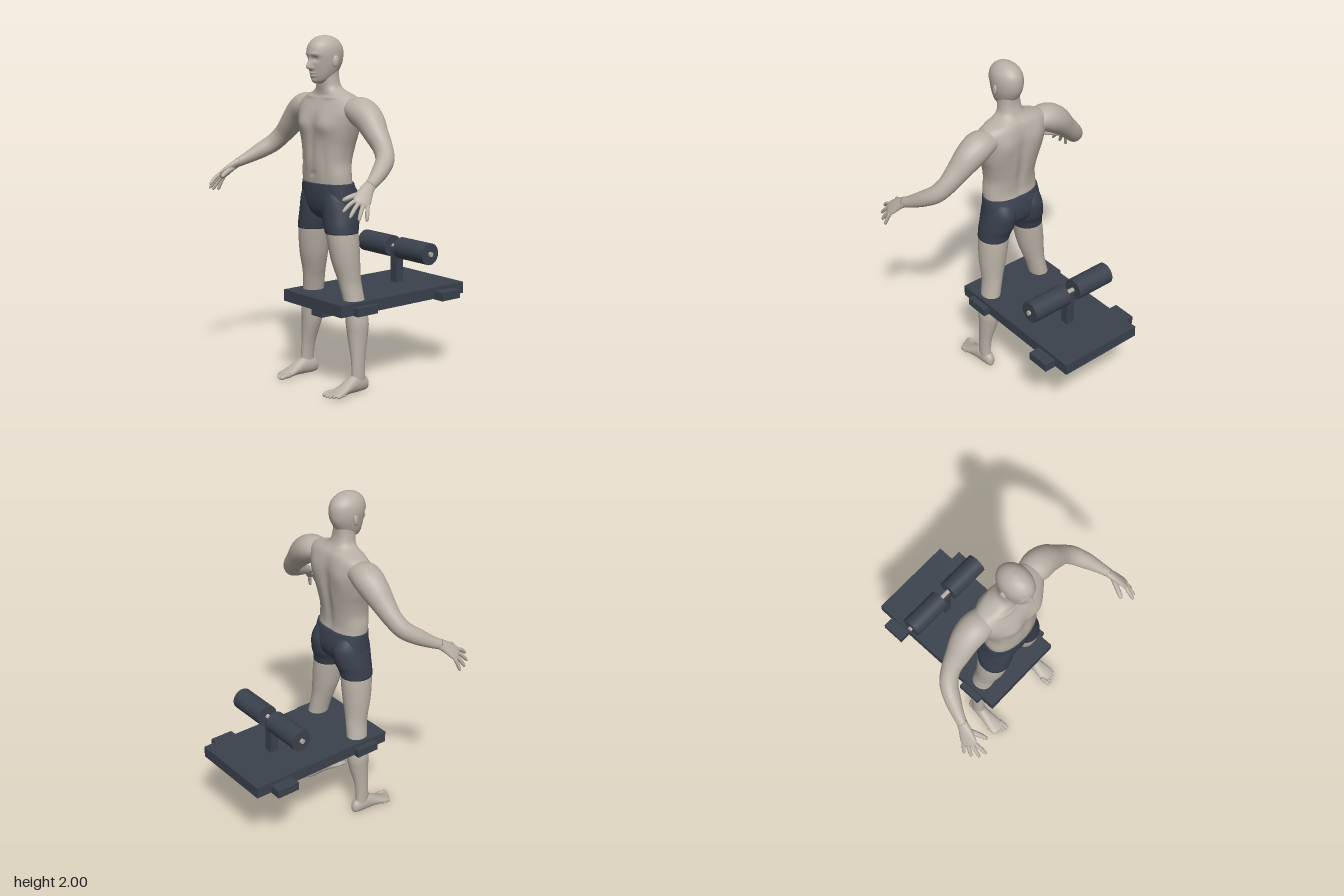
import * as THREE from 'three';

const mat = (name, color) => Object.assign(new THREE.MeshStandardMaterial({ color }), { name });
const gauss = (d, s) => Math.exp(-(d / s) * (d / s));

// Catmull-Rom interpolation between rows of numbers
function smooth(rows, per) {
  const out = [], last = rows.length - 1;
  for (let i = 0; i < last; i++) {
    const a = rows[Math.max(i - 1, 0)], b = rows[i], c = rows[i + 1], d = rows[Math.min(i + 2, last)];
    for (let k = 0; k < per; k++) {
      const t = k / per;
      out.push(b.map((p, j) => {
        const quad = 2 * a[j] - 5 * p + 4 * c[j] - d[j];
        const cubic = 3 * (p - c[j]) + d[j] - a[j];
        return p + 0.5 * t * (c[j] - a[j] + t * (quad + t * cubic));
      }));
    }
  }
  out.push(rows[last]);
  return out;
}

// Closed skin over a list of rings, capped at both ends and facing outwards
function skinRings(rings) {
  const n = rings[0].length, pts = rings.flat(), idx = [];
  for (let r = 0; r < rings.length - 1; r++) for (let i = 0; i < n; i++) {
    const a = r * n + i, b = r * n + (i + 1) % n;
    idx.push(a, b, a + n, b, b + n, a + n);
  }
  [0, rings.length - 1].forEach((r, end) => {
    const c = pts.length;
    pts.push(rings[r].reduce((s, p) => s.add(p), new THREE.Vector3()).divideScalar(n));
    for (let i = 0; i < n; i++) {
      const a = r * n + i, b = r * n + (i + 1) % n;
      idx.push(...(end ? [a, b, c] : [b, a, c]));
    }
  });
  let volume = 0;
  for (let i = 0; i < idx.length; i += 3)
    volume += pts[idx[i]].dot(new THREE.Vector3().crossVectors(pts[idx[i + 1]], pts[idx[i + 2]]));
  if (volume < 0) idx.reverse();
  const g = new THREE.BufferGeometry().setFromPoints(pts);
  g.setIndex(idx);
  g.computeVertexNormals();
  return g;
}

// Rows: [position, centre x, half width, low, high], stacked along y or z
function loft(rows, { side = 1, axis = 'y', n = 40, per = 5, power = 1, rule } = {}) {
  const pw = v => Math.sign(v) * Math.abs(v) ** power;
  return skinRings(smooth(rows, per).map(([p, cx, w, lo, hi]) => Array.from({ length: n }, (_, i) => {
    const a = (i + 0.5) / n * Math.PI * 2;
    const x = side * (cx + w * pw(Math.cos(a))), d = (lo + hi) / 2 + (hi - lo) / 2 * pw(Math.sin(a));
    const v = axis === 'y' ? new THREE.Vector3(x, p, d) : new THREE.Vector3(x, d, p);
    if (rule) rule(v);
    return v;
  })));
}

// Rows: [x, y, z, radius across ref, radius along ref], swept along their centres
function limb(rows, side, ref, n = 24, per = 5) {
  const s = smooth(rows, per), at = i => new THREE.Vector3(...s[i].slice(0, 3));
  return skinRings(s.map((row, k) => {
    const t = at(Math.min(k + 1, s.length - 1)).sub(at(Math.max(k - 1, 0))).normalize();
    const u = new THREE.Vector3().crossVectors(t, ref).normalize();
    const v = new THREE.Vector3().crossVectors(u, t);
    return Array.from({ length: n }, (_, i) => {
      const a = i / n * Math.PI * 2;
      const p = at(k).addScaledVector(u, row[3] * Math.cos(a)).addScaledVector(v, row[4] * Math.sin(a));
      p.x *= side;
      return p;
    });
  }));
}

// Tapered finger or toe with a rounded tip
function digit(a, b, r, side, lift) {
  const at = (t, k, up = 0) => [0, 1, 2].map(j => a[j] + (b[j] - a[j]) * t + (j === 1 ? up : 0)).concat(r * k, r * k);
  return limb([at(0, 1), at(0.45, 1.02, lift), at(0.8, 0.9, lift * 0.5), at(0.95, 0.6), at(1, 0.05)],
    side, new THREE.Vector3(1, 0, 0), 12, 3);
}

// Nose, eye sockets, brows, lips and chin
function faceRule(p) {
  if (p.z < 0.24) return;
  const ax = Math.abs(p.x), { x, y } = p;
  const nose = gauss(y - 1.825, y < 1.825 ? 0.012 : 0.035);
  p.z += 0.032 * gauss(x, 0.013) * nose + 0.008 * gauss(ax - 0.014, 0.008) * gauss(y - 1.82, 0.009)
    - 0.013 * gauss(ax - 0.034, 0.018) * gauss(y - 1.872, 0.014)
    + 0.005 * gauss(ax - 0.032, 0.025) * gauss(y - 1.898, 0.01)
    + 0.009 * gauss(x, 0.022) * (gauss(y - 1.793, 0.006) + gauss(y - 1.777, 0.006))
    + 0.005 * gauss(x, 0.02) * gauss(y - 1.75, 0.012);
}

function torsoRule(p) {
  const ax = Math.abs(p.x), { x, y } = p;
  if (p.z > 0.2) {
    p.z += 0.02 * gauss(ax - 0.095, 0.065) * gauss(y - 1.51, 0.055) // chest
      - 0.008 * gauss(x, 0.014) * gauss(y - 1.42, 0.15)
      - 0.006 * gauss(ax - 0.09, 0.02) * gauss(y - 1.3, 0.08)
      - 0.014 * gauss(x, 0.011) * gauss(y - 1.235, 0.012)           // navel
      + 0.007 * gauss(y - 1.655 - ax * 0.05, 0.01) * gauss(ax - 0.09, 0.06); // collarbone
  } else {
    p.z += 0.018 * gauss(x, 0.025) * gauss(y - 1.42, 0.2)           // spine
      - 0.013 * gauss(ax - 0.11, 0.055) * gauss(y - 1.55, 0.08);    // shoulder blades
  }
}

export function createModel() {
  const model = new THREE.Group();
  const skin = mat('skin', 0xb8b0a5), cloth = mat('shorts cloth', 0x39404d);
  const bench = mat('bench', 0x3b424d), metal = mat('axle metal', 0xb3aca0);
  const add = (name, geo, m, parent = model) => {
    const mesh = new THREE.Mesh(geo, m);
    mesh.name = name;
    parent.add(mesh);
    return mesh;
  };
  const group = name => {
    const g = new THREE.Group();
    g.name = name;
    model.add(g);
    return g;
  };

  // Bench
  const benchGroup = group('bench');
  const box = (name, x, y0, y1, z0, z1) =>
    add(name, new THREE.BoxGeometry(2 * x, y1 - y0, z1 - z0), bench, benchGroup).position.set(0, (y0 + y1) / 2, (z0 + z1) / 2);
  box('board', 0.265, 0.457, 0.525, -0.61, 0.33);
  box('beam', 0.047, 0.41, 0.457, -0.57, 0.297);
  box('rearCrossbar', 0.335, 0.454, 0.503, -0.514, -0.372);
  box('frontCrossbar', 0.3, 0.454, 0.503, 0.093, 0.24);
  box('post', 0.027, 0.525, 0.735, -0.34, -0.288);
  const rod = (name, r, len, x, m) => {
    const mesh = add(name, new THREE.CylinderGeometry(r, r, len, 40), m, benchGroup);
    mesh.rotation.z = Math.PI / 2;
    mesh.position.set(x, 0.735, -0.315);
  };
  rod('axle', 0.014, 0.6, 0, metal);
  for (const s of [1, -1]) rod('roller', 0.064, 0.25, s * 0.162, bench);

  // Head
  const head = group('head');
  add('skull', loft([
    [1.735, 0, 0.02, 0.22, 0.295], [1.745, 0, 0.038, 0.195, 0.308], [1.765, 0, 0.053, 0.175, 0.316],
    [1.80, 0, 0.068, 0.148, 0.323], [1.85, 0, 0.08, 0.122, 0.332], [1.90, 0, 0.084, 0.115, 0.341],
    [1.94, 0, 0.078, 0.123, 0.334], [1.97, 0, 0.061, 0.147, 0.312], [1.99, 0, 0.037, 0.18, 0.28], [2.0, 0, 0.004, 0.226, 0.234],
  ], { n: 96, per: 9, rule: faceRule }), skin, head);

  // Torso and neck
  add('torso', loft([
    [1.15, 0, 0.172, 0.105, 0.312], [1.22, 0, 0.171, 0.114, 0.319], [1.30, 0, 0.163, 0.106, 0.325],
    [1.38, 0, 0.177, 0.092, 0.323], [1.45, 0, 0.2, 0.082, 0.322], [1.52, 0, 0.222, 0.078, 0.318],
    [1.58, 0, 0.236, 0.078, 0.306], [1.63, 0, 0.232, 0.086, 0.282], [1.665, 0, 0.185, 0.098, 0.264],
    [1.69, 0, 0.112, 0.118, 0.262], [1.715, 0, 0.075, 0.135, 0.265], [1.76, 0, 0.064, 0.148, 0.27], [1.82, 0, 0.06, 0.15, 0.275],
  ], { n: 80, per: 7, power: 0.88, rule: torsoRule }), skin);

  // Shorts
  const shorts = group('shorts');
  add('shortsWaist', loft([
    [1.183, 0, 0.178, 0.1, 0.32], [1.12, 0, 0.185, 0.083, 0.321], [1.06, 0, 0.188, 0.084, 0.313],
    [1.01, 0, 0.16, 0.105, 0.295], [0.975, 0, 0.1, 0.15, 0.26],
  ], { power: 0.88 }), cloth, shorts);

  for (const s of [1, -1]) {
    const side = s > 0 ? 'left' : 'right', opt = { side: s };
    const ear = add(side + 'Ear', new THREE.SphereGeometry(1, 16, 12), skin, head);
    ear.scale.set(0.011, 0.033, 0.019);
    ear.position.set(s * 0.086, 1.858, 0.222);
    ear.rotation.set(-0.15, s * -0.35, 0);
    const eye = add(side + 'Eye', new THREE.SphereGeometry(0.012, 16, 12), skin, head);
    eye.scale.y = 0.6;
    eye.position.set(s * 0.034, 1.871, 0.305);

    add(side + 'ShortsLeg', loft([
      [1.16, 0.09, 0.075, 0.105, 0.3], [1.09, 0.096, 0.09, 0.073, 0.312], [1.0, 0.106, 0.099, 0.085, 0.312],
      [0.95, 0.116, 0.096, 0.105, 0.312], [0.905, 0.125, 0.091, 0.115, 0.309],
    ], opt), cloth, shorts);

    // Legs
    const leg = group(side + 'Leg');
    add(side + 'LegSkin', loft([
      [0.93, 0.122, 0.088, 0.118, 0.305], [0.85, 0.133, 0.087, 0.115, 0.3], [0.75, 0.145, 0.08, 0.118, 0.285],
      [0.66, 0.158, 0.066, 0.12, 0.262], [0.6, 0.169, 0.058, 0.116, 0.25], [0.5, 0.19, 0.057, 0.109, 0.236],
      [0.4, 0.206, 0.062, 0.1, 0.235], [0.32, 0.212, 0.056, 0.11, 0.23], [0.2, 0.229, 0.037, 0.135, 0.225],
      [0.1, 0.236, 0.03, 0.14, 0.227], [0.04, 0.235, 0.03, 0.13, 0.23],
    ], opt), skin, leg);
    add(side + 'Foot', loft([
      [0.113, 0.232, 0.008, 0.02, 0.05], [0.125, 0.232, 0.024, 0.006, 0.075], [0.16, 0.232, 0.033, 0.001, 0.098],
      [0.21, 0.235, 0.035, 0.001, 0.104], [0.26, 0.237, 0.039, 0.003, 0.082], [0.31, 0.239, 0.046, 0.002, 0.055],
      [0.35, 0.239, 0.049, 0.002, 0.037], [0.372, 0.236, 0.042, 0.005, 0.028], [0.38, 0.234, 0.03, 0.01, 0.02],
    ], { side: s, axis: 'z' }), skin, leg);
    for (let i = 0; i < 5; i++) {
      const x = 0.2 + 0.02 * i, r = i ? 0.0105 - 0.0005 * i : 0.014;
      add(side + 'Toe', digit([x, r + 0.007, 0.34 - 0.006 * i], [x, r, 0.412 - 0.002 * i * (i + 1)], r, s, 0.004), skin, leg);
    }

    // Arms
    const arm = group(side + 'Arm');
    add(side + 'ArmSkin', limb([
      [0.15, 1.6, 0.178, 0.05, 0.07], [0.235, 1.59, 0.172, 0.08, 0.088], [0.31, 1.548, 0.17, 0.081, 0.083],
      [0.385, 1.475, 0.18, 0.066, 0.067], [0.45, 1.41, 0.192, 0.057, 0.053], [0.505, 1.353, 0.225, 0.053, 0.05],
      [0.547, 1.308, 0.29, 0.046, 0.046], [0.58, 1.268, 0.36, 0.033, 0.036], [0.601, 1.242, 0.415, 0.025, 0.029],
    ], s, new THREE.Vector3(0, 0, 1)), skin, arm);

    // Hands
    const across = new THREE.Vector3(-0.52, 0.38, 0.76).normalize();
    add(side + 'Palm', limb([
      [0.595, 1.25, 0.4, 0.024, 0.03], [0.612, 1.222, 0.443, 0.021, 0.038], [0.63, 1.19, 0.48, 0.018, 0.046],
      [0.643, 1.167, 0.505, 0.013, 0.044], [0.648, 1.157, 0.515, 0.002, 0.03],
    ], s, across), skin, arm);
    const tips = [[0.683, 1.078, 0.5], [0.672, 1.084, 0.545], [0.648, 1.1, 0.585], [0.613, 1.128, 0.602]];
    tips.forEach((tip, i) => {
      const base = new THREE.Vector3(0.641, 1.17, 0.5).addScaledVector(across, -0.034 + i * 0.0225);
      add(side + 'Finger', digit(base.toArray(), tip, 0.011, s, 0.006), skin, arm);
    });
    add(side + 'Thumb', digit([0.603, 1.212, 0.445], [0.555, 1.176, 0.558], 0.0145, s, 0.004), skin, arm);
  }
  return model;
}
